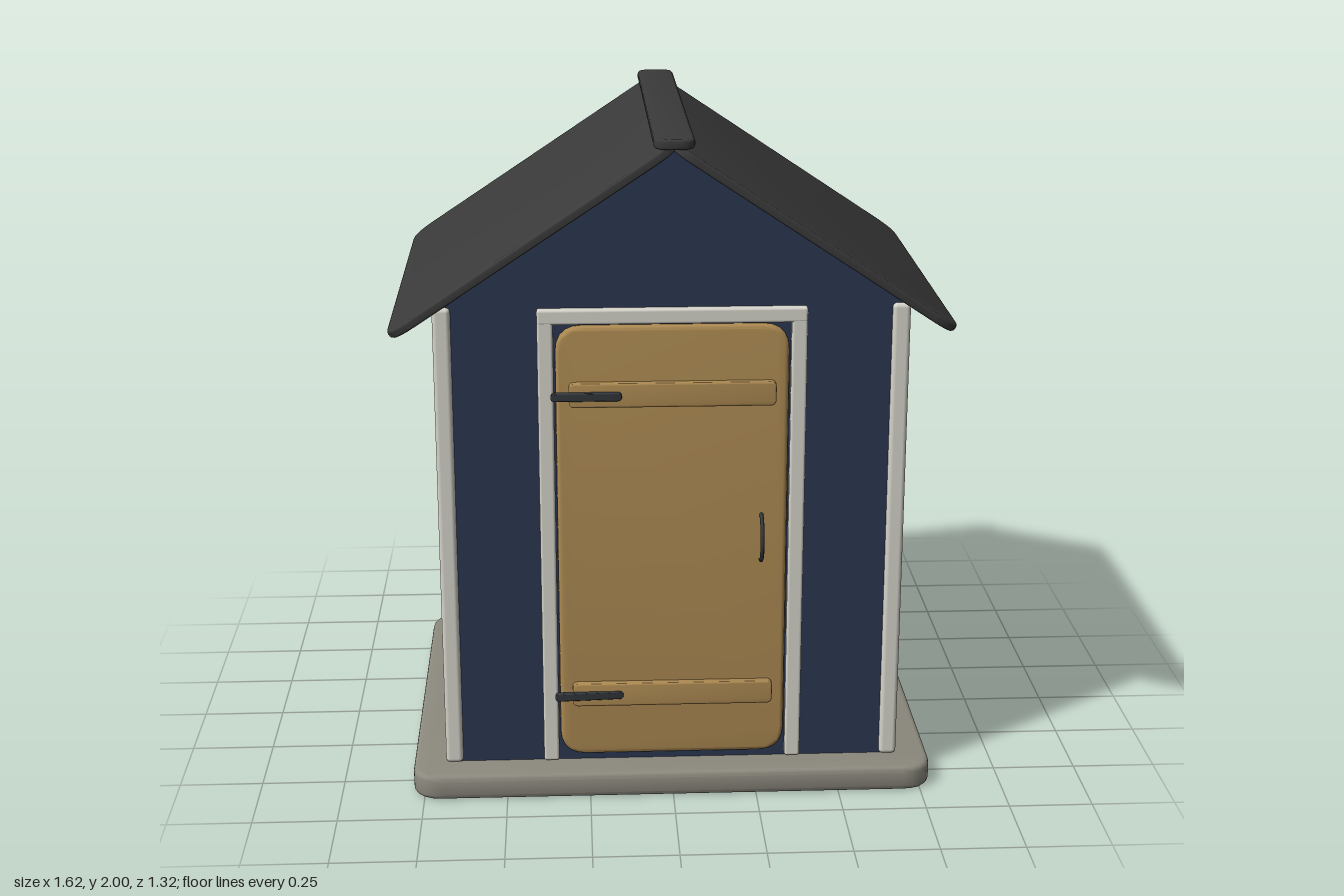
import * as THREE from 'three';
import { toCreasedNormals } from 'three/addons/utils/BufferGeometryUtils.js';
import { RoundedBoxGeometry } from 'three/addons/geometries/RoundedBoxGeometry.js';

function material(name, color) {
  const m = new THREE.MeshStandardMaterial({ color });
  m.name = name;
  return m;
}

// Slab in the XY plane with rounded corners and softened edges, centred on the origin
function slab(w, h, d, r, bevel) {
  const x = w / 2 - bevel, y = h / 2 - bevel;
  const s = new THREE.Shape();
  s.moveTo(-x + r, -y);
  s.lineTo(x - r, -y);
  s.quadraticCurveTo(x, -y, x, -y + r);
  s.lineTo(x, y - r);
  s.quadraticCurveTo(x, y, x - r, y);
  s.lineTo(-x + r, y);
  s.quadraticCurveTo(-x, y, -x, y - r);
  s.lineTo(-x, -y + r);
  s.quadraticCurveTo(-x, -y, -x + r, -y);
  const g = new THREE.ExtrudeGeometry(s, {
    depth: d - 2 * bevel, bevelSize: bevel, bevelThickness: bevel, bevelSegments: 3, curveSegments: 5,
  });
  g.translate(0, 0, bevel - d / 2);
  return toCreasedNormals(g, 0.7);
}

export function createModel() {
  const model = new THREE.Group();
  model.name = 'gardenShed';
  const navy = material('navyWall', 0x2b3650);
  const white = material('whiteTrim', 0xd6d4cb);
  const wood = material('doorWood', 0xae8b53);
  const felt = material('roofFelt', 0x3a3a3a);
  const stone = material('stoneBase', 0x8c897e);
  const iron = material('iron', 0x33373b);

  function add(name, geometry, mat, x = 0, y = 0, z = 0, parent = model) {
    const mesh = new THREE.Mesh(geometry, mat);
    mesh.name = name;
    mesh.position.set(x, y, z);
    parent.add(mesh);
    return mesh;
  }

  // Base slab
  const base = slab(1.57, 1.27, 0.075, 0.075, 0.015);
  base.rotateX(-Math.PI / 2);
  add('base', base, stone, 0, 0.0375, 0);

  // Walls with gables
  const gable = new THREE.Shape([
    [-0.68, 0.07], [0.68, 0.07], [0.68, 1.503], [0, 1.955], [-0.68, 1.503],
  ].map(([x, y]) => new THREE.Vector2(x, y)));
  const walls = new THREE.ExtrudeGeometry(gable, { depth: 1.05, bevelEnabled: false });
  add('walls', walls, navy, 0, 0, -0.525);

  // Corner posts
  for (const sx of [-1, 1]) {
    for (const sz of [-1, 1]) {
      add('cornerPost', new RoundedBoxGeometry(0.052, 1.425, 0.052, 3, 0.013), white,
        sx * 0.661, 0.7875, sz * 0.513);
    }
  }

  // Roof panels and ridge cap
  const slope = Math.atan(0.665);
  for (const side of [-1, 1]) {
    const panel = slab(0.98, 1.315, 0.026, 0.075, 0.009);
    panel.rotateX(-Math.PI / 2);
    panel.rotateZ(-side * slope);
    add(side > 0 ? 'roofLeft' : 'roofRight', panel, felt, side * 0.398, 1.712, 0);
  }
  const cap = slab(0.116, 1.318, 0.03, 0.03, 0.011);
  cap.rotateX(-Math.PI / 2);
  add('ridgeCap', cap, felt, 0, 1.985, 0);

  // Door frame
  for (const s of [-1, 1]) {
    add('frameSide', new RoundedBoxGeometry(0.046, 1.395, 0.03, 3, 0.008), white, s * 0.366, 0.7775, 0.532);
  }
  add('frameTop', new RoundedBoxGeometry(0.778, 0.045, 0.032, 3, 0.008), white, 0, 1.472, 0.532);

  // Door with battens
  const door = new THREE.Group();
  door.name = 'door';
  model.add(door);
  add('doorPanel', slab(0.675, 1.345, 0.036, 0.065, 0.012), wood, 0, 0.7715, 0.527, door);
  for (const y of [0.303, 1.243]) {
    add('batten', slab(0.6, 0.073, 0.03, 0.012, 0.005), wood, 0, y, 0.551, door);
  }

  // Strap hinges, the lower one sinking into its batten
  const hinges = [[1.243, 0.205, 0.572, 0], [0.303, 0.205, 0.567, 0.06]];
  for (const [y, w, z, tilt] of hinges) {
    const hinge = add('hinge', slab(w, 0.025, 0.018, 0.008, 0.004), iron, -0.25, y, z, door);
    hinge.rotation.y = tilt;
  }

  // Bowed handle
  const bow = [];
  for (let i = 0; i <= 10; i++) {
    const a = Math.PI * (i / 10 - 0.5);
    bow.push(new THREE.Vector3(0, 0.072 * Math.sin(a), 0.058 * Math.cos(a)));
  }
  const handle = new THREE.TubeGeometry(new THREE.CatmullRomCurve3(bow), 24, 0.006, 8);
  add('handle', handle, iron, 0.262, 0.795, 0.54, door);

  return model;
}
